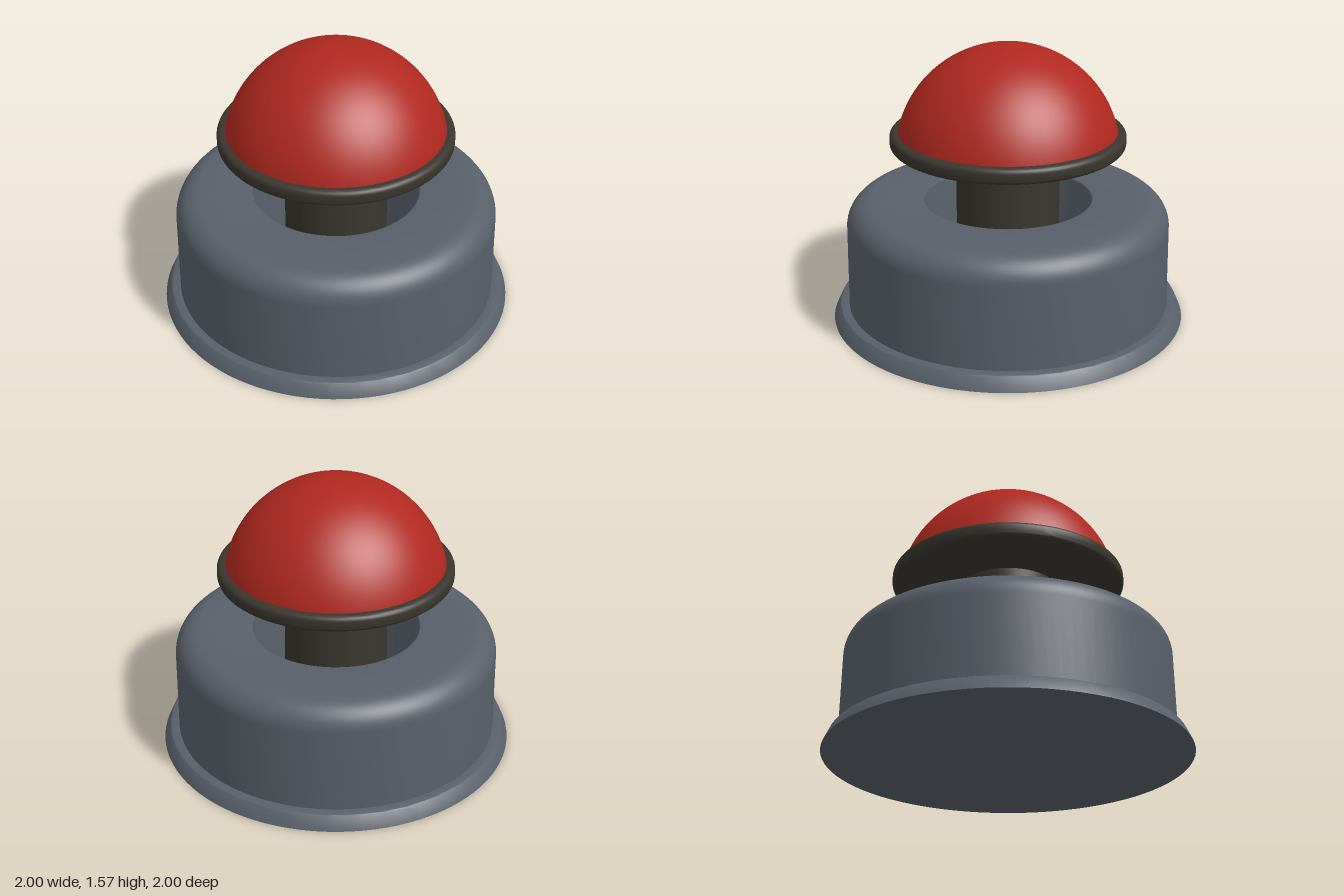
import * as THREE from 'three';
import { toCreasedNormals } from 'three/addons/utils/BufferGeometryUtils.js';

const SEGMENTS = 96;

// Points along a quarter-style arc, angles in degrees
function arc(cx, cy, r, from, to, steps) {
  const pts = [];
  for (let i = 0; i <= steps; i++) {
    const a = THREE.MathUtils.degToRad(from + ((to - from) * i) / steps);
    pts.push([Math.max(0, cx + r * Math.cos(a)), cy + r * Math.sin(a)]);
  }
  return pts;
}

// Turned part from a [radius, height] profile running bottom to top on the outside
function turned(name, profile, color) {
  const points = profile.map(([r, y]) => new THREE.Vector2(r, y));
  const geometry = toCreasedNormals(new THREE.LatheGeometry(points, SEGMENTS), Math.PI / 6);
  const mesh = new THREE.Mesh(geometry, new THREE.MeshStandardMaterial({ color }));
  mesh.name = name;
  return mesh;
}

export function createModel() {
  const model = new THREE.Group();
  model.name = 'pushButton';
  const grey = 0x59606a;
  const dark = 0x3a362f;
  const red = 0xb02820;

  // Housing: sloped foot flange, drafted wall, rounded shoulder, open well in the middle
  model.add(turned('housing', [
    [0, 0], [1, 0], [0.968, 0.07], ...arc(0.953, 0.065, 0.015, 25, 90, 4),
    [0.913, 0.08],
    ...arc(0.767, 0.55, 0.14, 0, 90, 14),
    ...arc(0.48, 0.68, 0.01, 90, 180, 4),
    [0.47, 0.1], [0, 0.1],
  ], grey));

  // Plunger stem standing in the well
  model.add(turned('stem', [[0, 0.1], [0.293, 0.1], [0.287, 1.02], [0, 1.02]], dark));

  // Collar disc with rounded rim
  model.add(turned('collar', [
    [0, 1.0],
    ...arc(0.625, 1.03, 0.03, -90, 0, 6),
    ...arc(0.625, 1.06, 0.03, 0, 90, 6),
    [0, 1.09],
  ], dark));

  // Domed cap
  model.add(turned('dome', arc(0, 0.945, 0.625, 9, 90, 32), red));

  return model;
}
